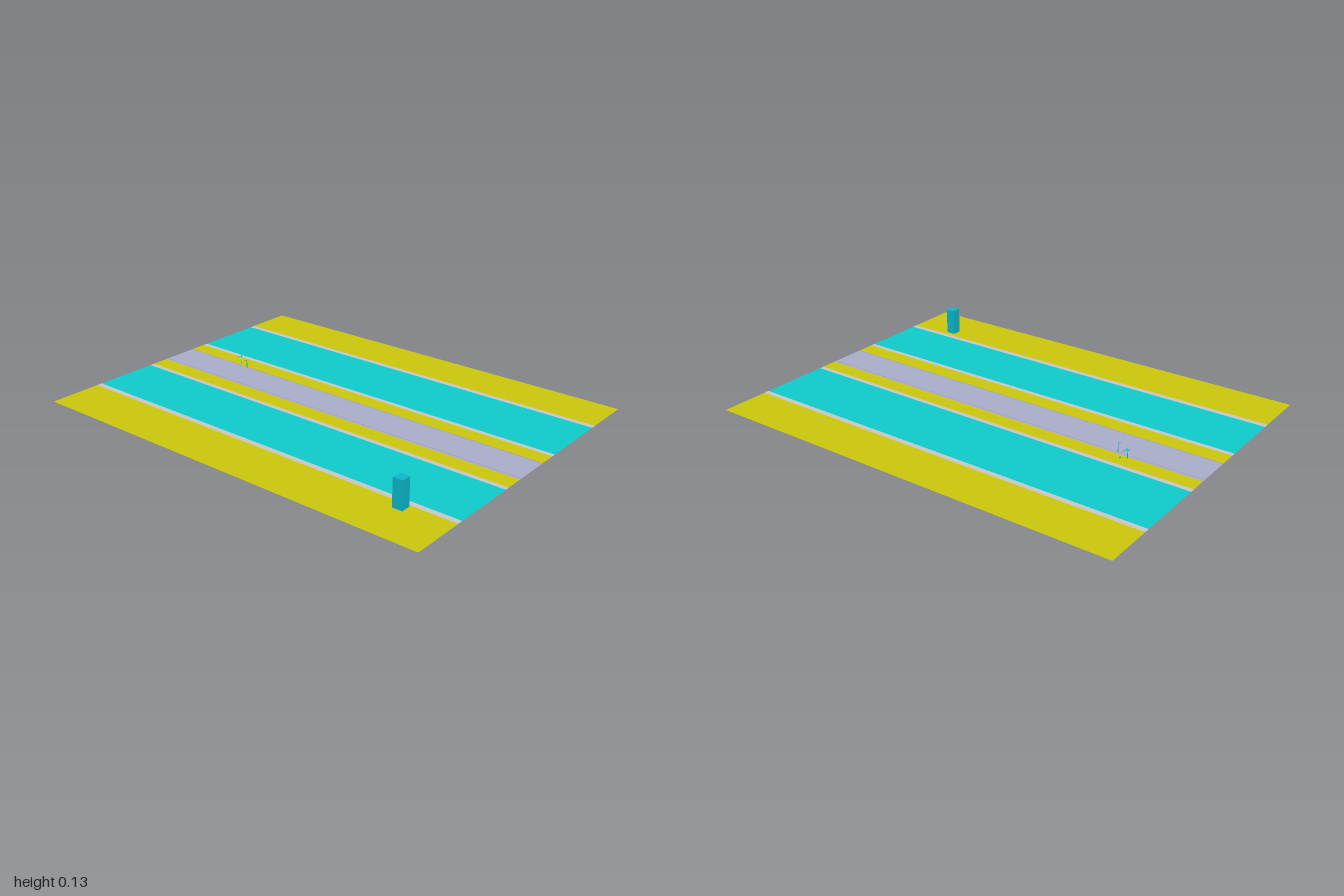
import * as THREE from 'three';

const paint = (name, color) => {
  const m = new THREE.MeshStandardMaterial({ color, side: THREE.DoubleSide });
  m.name = name;
  return m;
};

export function createModel() {
  const grass = paint('grass yellow', 0xccc80c);
  const kerb = paint('kerb grey', 0xc8c8c6);
  const road = paint('road turquoise', 0x0fcccc);
  const path = paint('path lavender', 0xabaecb);
  const teal = paint('block teal', 0x0cb8cc);

  const model = new THREE.Group();
  const add = (name, geometry, material, x = 0, y = 0, z = 0, parent = model) => {
    const mesh = new THREE.Mesh(geometry, material);
    mesh.name = name;
    mesh.position.set(x, y, z);
    parent.add(mesh);
    return mesh;
  };

  // Ground: flat lengthwise strips, from the model's right edge to its left
  const edges = [-0.767, -0.521, -0.494, -0.194, -0.171, -0.09, 0.09, 0.166, 0.189, 0.516, 0.542, 0.767];
  const strips = [
    ['verge', grass], ['kerb', kerb], ['road', road], ['kerb', kerb], ['median', grass], ['path', path],
    ['median', grass], ['kerb', kerb], ['road', road], ['kerb', kerb], ['verge', grass],
  ];
  strips.forEach(([name, material], i) => {
    const width = edges[i + 1] - edges[i];
    const strip = new THREE.PlaneGeometry(width, 2).rotateX(-Math.PI / 2);
    add(name, strip, material, edges[i] + width / 2, 0, 0);
  });

  // Low railings along both sides of the path
  for (const side of [-1, 1]) {
    const railing = new THREE.Group();
    railing.name = 'railing';
    model.add(railing);
    add('rail', new THREE.BoxGeometry(0.001, 0.0015, 2), path, side * 0.082, 0.003, 0, railing);
    for (let i = 0; i < 14; i++) {
      add('railPost', new THREE.BoxGeometry(0.002, 0.005, 0.002), path, side * 0.082, 0.0025, 0.97 - i * 0.148, railing);
    }
  }

  // Tall block on the verge
  add('block', new THREE.BoxGeometry(0.044, 0.126, 0.046), teal, -0.559, 0.067, 0.775);

  // Street lamp with its arm reaching over the path
  const lamp = new THREE.Group();
  lamp.name = 'streetLamp';
  lamp.position.set(0.08, 0, -0.61);
  model.add(lamp);
  add('lampPost', new THREE.CylinderGeometry(0.001, 0.0014, 0.04, 6), teal, 0, 0.02, 0, lamp);
  add('lampArm', new THREE.BoxGeometry(0.016, 0.0016, 0.002), teal, -0.008, 0.04, 0, lamp);

  // Small palm: slim trunk and four drooping fronds set in a cross
  const palm = new THREE.Group();
  palm.name = 'palm';
  palm.position.set(0.103, 0, -0.668);
  model.add(palm);
  add('trunk', new THREE.CylinderGeometry(0.0012, 0.002, 0.036, 6), teal, 0, 0.018, 0, palm);
  for (let i = 0; i < 4; i++) {
    const frond = new THREE.PlaneGeometry(0.024, 0.007, 4, 1).rotateX(-Math.PI / 2).translate(0.012, 0, 0);
    const p = frond.attributes.position;
    for (let j = 0; j < p.count; j++) {
      const t = p.getX(j) / 0.024;
      p.setY(j, 0.02 * t - 0.03 * t * t);
      p.setZ(j, p.getZ(j) * (1 - 0.6 * t));
    }
    frond.computeVertexNormals();
    add('frond', frond, teal, 0, 0.037, 0, palm).rotation.y = Math.PI / 4 + i * Math.PI / 2;
  }

  // Stub beside the palm
  add('stub', new THREE.BoxGeometry(0.006, 0.004, 0.004), teal, 0.114, 0.002, -0.64);

  return model;
}
